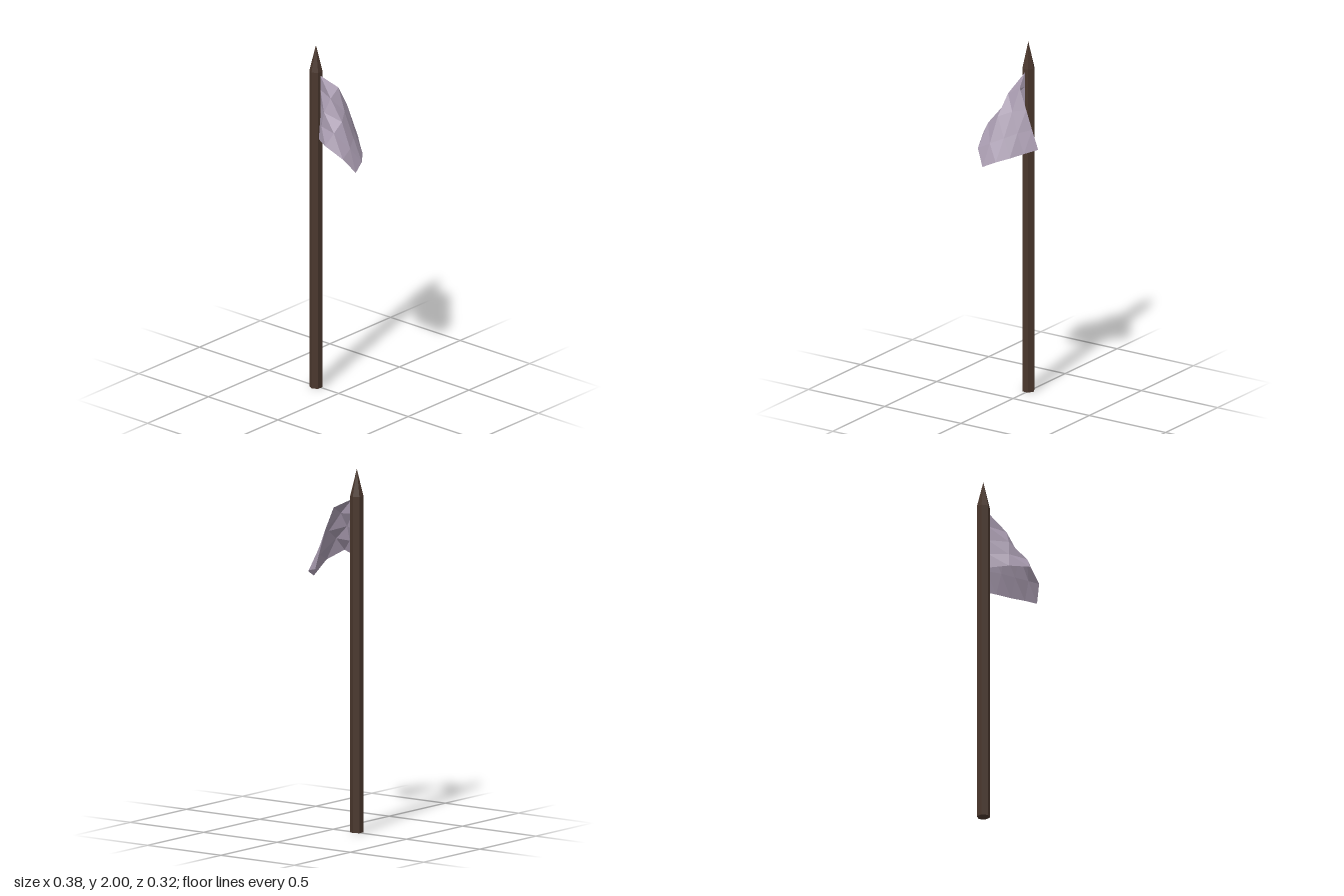
import * as THREE from 'three';

const POLE_X = -0.157, POLE_Z = 0.007, POLE_R = 0.0362;

// Draped cloth: each column runs from the top hem to the bottom hem, from pole to free edge.
const CLOTH = [
  [[-0.125, 1.83, 0.008], [-0.125, 1.748, 0.008], [-0.125, 1.665, 0.008], [-0.125, 1.583, 0.008], [-0.125, 1.5, 0.008]],
  [[-0.025, 1.777, -0.027], [-0.018, 1.735, 0.045], [-0.035, 1.66, 0.08], [-0.045, 1.58, 0.09], [-0.055, 1.505, 0.1]],
  [[-0.01, 1.665, -0.08], [0.03, 1.655, -0.015], [0.07, 1.625, 0.053], [0.068, 1.577, 0.117], [0.045, 1.51, 0.162]],
  [[-0.006, 1.56, -0.121], [0.05, 1.545, -0.063], [0.1, 1.52, -0.008], [0.135, 1.488, 0.06], [0.145, 1.45, 0.132]],
  [[-0.003, 1.455, -0.163], [0.058, 1.438, -0.11], [0.12, 1.42, -0.06], [0.167, 1.4, 0.0], [0.187, 1.365, 0.073]],
];

// Surface through a list of cross-sections with equal point counts.
function sheet(columns) {
  const rows = columns[0].length;
  const index = [];
  for (let c = 0; c < columns.length - 1; c++) {
    for (let r = 0; r < rows - 1; r++) {
      const a = c * rows + r, b = a + rows;
      index.push(a, a + 1, b + 1, a, b + 1, b);
    }
  }
  const geometry = new THREE.BufferGeometry();
  geometry.setAttribute('position', new THREE.Float32BufferAttribute(columns.flat(2), 3));
  geometry.setIndex(index);
  geometry.computeVertexNormals();
  return geometry;
}

export function createModel() {
  const group = new THREE.Group();
  group.name = 'flagOnPole';
  const wood = new THREE.MeshStandardMaterial({ color: 0x4a372d, flatShading: true });
  const cloth = new THREE.MeshStandardMaterial({ color: 0xa699ad, flatShading: true, side: THREE.DoubleSide });

  const add = (name, geometry, material) => {
    const mesh = new THREE.Mesh(geometry, material);
    mesh.name = name;
    group.add(mesh);
    return mesh;
  };

  // Six-sided pole with a sharpened tip
  const shaftHeight = 1.85, tipHeight = 0.15;
  add('pole', new THREE.CylinderGeometry(POLE_R, POLE_R, shaftHeight, 6), wood)
    .position.set(POLE_X, shaftHeight / 2, POLE_Z);
  add('poleTip', new THREE.ConeGeometry(POLE_R, tipHeight, 6, 1, true), wood)
    .position.set(POLE_X, shaftHeight + tipHeight / 2, POLE_Z);

  // Hanging flag
  add('flag', sheet(CLOTH), cloth);

  return group;
}
